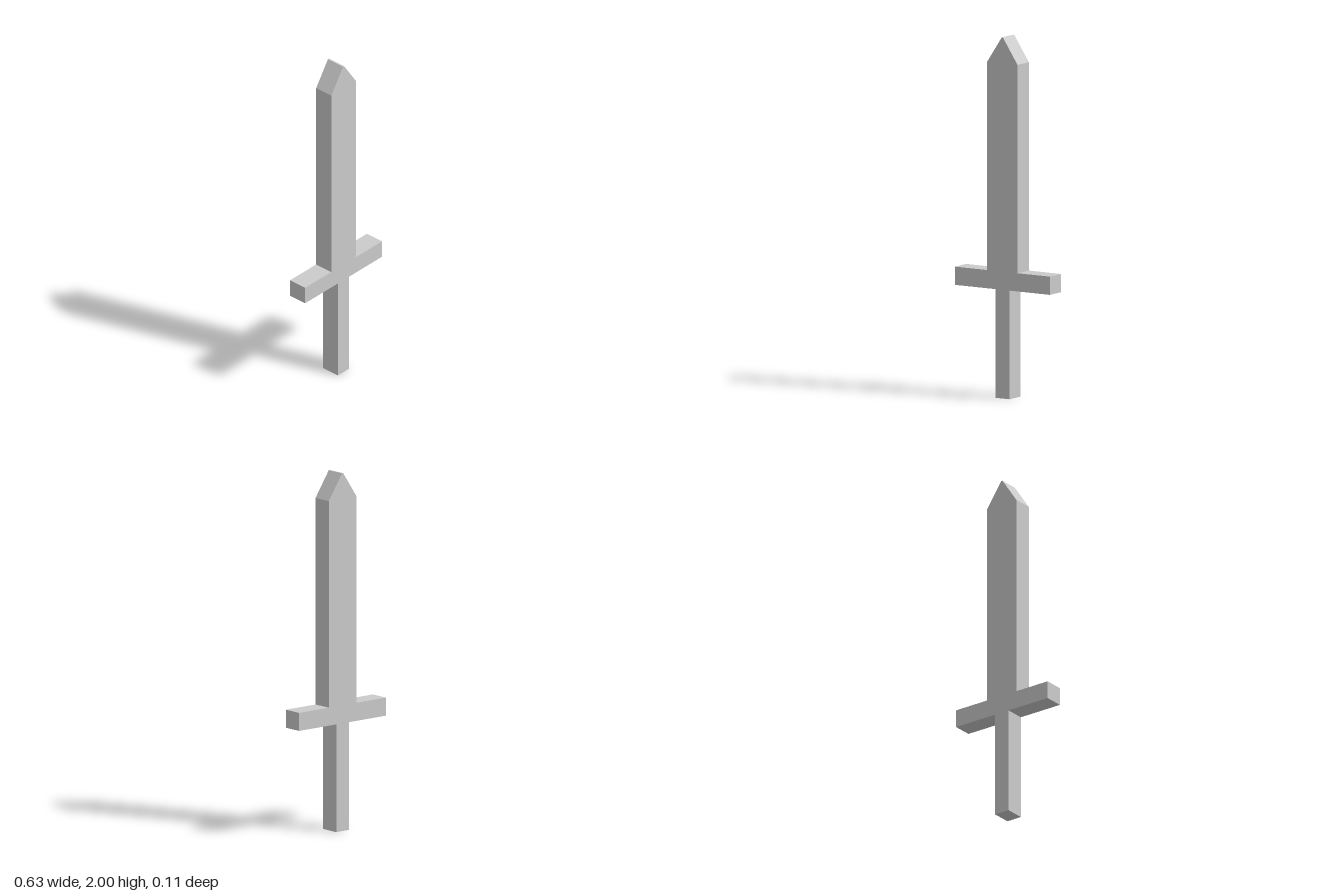
import * as THREE from 'three';

const DEPTH = 0.112;
const material = new THREE.MeshStandardMaterial({ color: 0xcccccc, flatShading: true });

// Flat slab, mirrored in x, from the right half of its outline (bottom to top)
function slab(name, half) {
  const right = half.map(([x, y]) => new THREE.Vector2(x, y));
  const left = half.map(([x, y]) => new THREE.Vector2(-x, y)).reverse();
  const geometry = new THREE.ExtrudeGeometry(new THREE.Shape([...right, ...left]), {
    depth: DEPTH,
    bevelEnabled: false,
  });
  geometry.translate(0, 0, -DEPTH / 2);
  const mesh = new THREE.Mesh(geometry, material);
  mesh.name = name;
  return mesh;
}

export function createModel() {
  const sword = new THREE.Group();
  sword.name = 'sword';
  sword.add(
    // Narrow grip below the guard
    slab('grip', [[0.046, 0], [0.046, 0.602]]),
    // Wide crossbar
    slab('guard', [[0.313, 0.602], [0.313, 0.703]]),
    // Blade with a sloped point, very slightly blunt at the top
    slab('blade', [[0.1, 0.703], [0.1, 1.857], [0.004, 2]]),
  );
  return sword;
}
